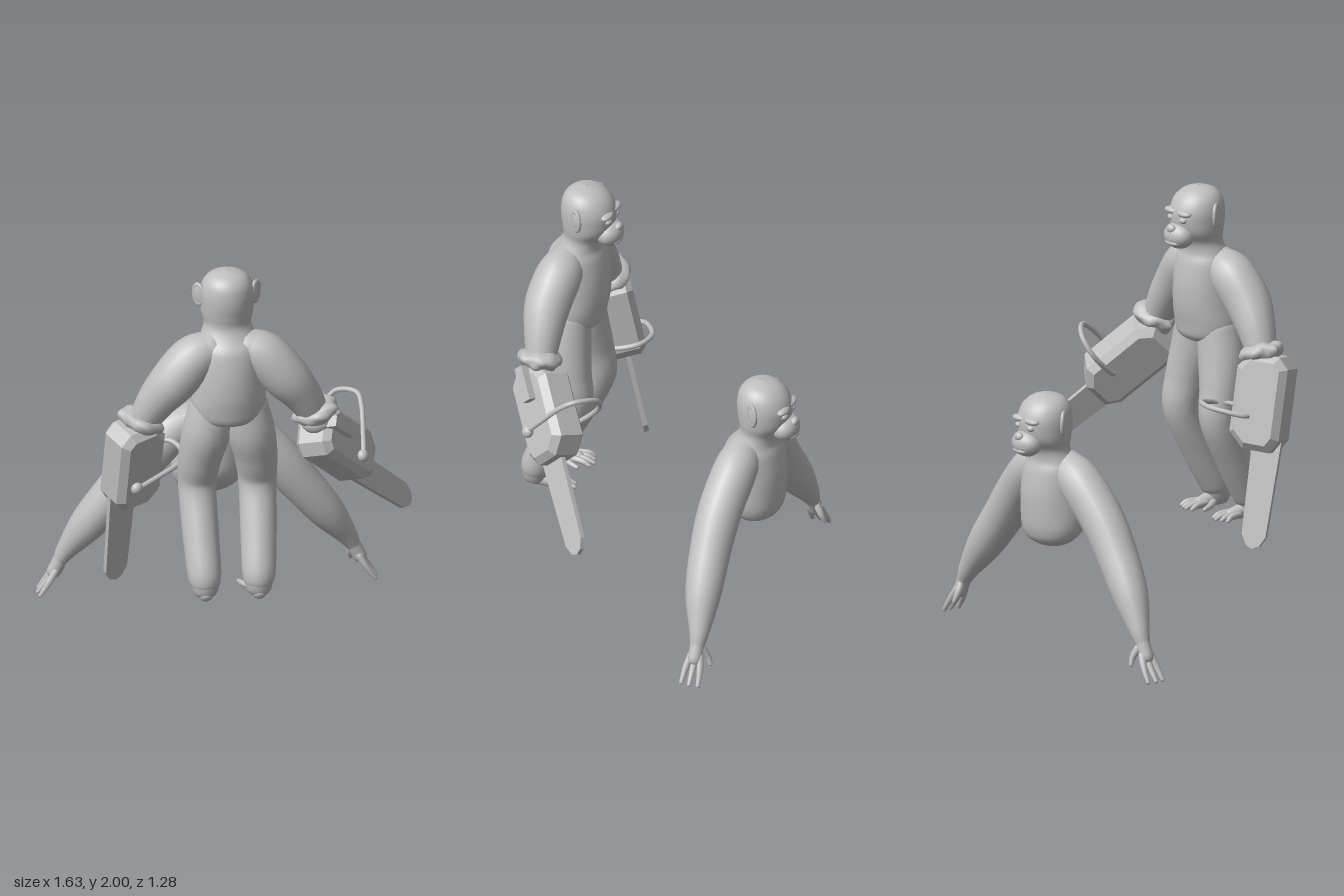
import * as THREE from 'three';

const grey = new THREE.MeshStandardMaterial({ color: 0xbfbfbf });
grey.name = 'plain grey';
const CX = -0.065; // shared mirror plane of both apes

function add(parent, name, geo, pos = [0, 0, 0], scale = [1, 1, 1]) {
  const m = new THREE.Mesh(geo, grey);
  m.name = name;
  m.position.set(...pos);
  m.scale.set(...scale);
  parent.add(m);
  return m;
}
const ball = (parent, name, pos, radii) => add(parent, name, new THREE.SphereGeometry(1, 24, 16), pos, radii);

// Smooth interpolation of rows of numbers
function sample(rows, per) {
  const out = [], last = rows.length - 1;
  for (let k = 0; k <= last * per; k++) {
    const i = Math.min(Math.floor(k / per), last - 1), t = k / per - i;
    const [a, b, c, d] = [-1, 0, 1, 2].map(o => rows[Math.min(Math.max(i + o, 0), last)]);
    out.push(b.map((_, n) => b[n] + 0.5 * t * (c[n] - a[n] +
      t * (2 * a[n] - 5 * b[n] + 4 * c[n] - d[n] + t * (3 * (b[n] - c[n]) + d[n] - a[n])))));
  }
  return out;
}

// Closed skin over rings of equal point count
function skin(rings) {
  const n = rings[0].length, pos = rings.flat().flatMap(p => [p.x, p.y, p.z]), idx = [];
  for (let i = 0; i < rings.length - 1; i++) {
    for (let j = 0; j < n; j++) {
      const a = i * n + j, b = i * n + (j + 1) % n;
      idx.push(a, b, a + n, b, b + n, a + n);
    }
  }
  const g = new THREE.BufferGeometry();
  g.setAttribute('position', new THREE.Float32BufferAttribute(pos, 3));
  g.setIndex(idx);
  g.computeVertexNormals();
  return g;
}

// Round limb along rows of [x, y, z, radius] with domed ends
function limb(rows, sides = 18, per = 6) {
  const s = sample(rows, per), P = s.map(r => new THREE.Vector3(r[0], r[1], r[2])), end = P.length - 1;
  const chord = P[end].clone().sub(P[0]).normalize();
  const ref = Math.abs(chord.z) > 0.7 ? new THREE.Vector3(0, 1, 0) : new THREE.Vector3(0, 0, 1);
  const rings = [];
  const ring = (i, shift, shrink) => {
    const T = P[Math.min(i + 1, end)].clone().sub(P[Math.max(i - 1, 0)]).normalize();
    const N = ref.clone().cross(T).normalize(), B = T.clone().cross(N), r = s[i][3];
    rings.push(Array.from({ length: sides }, (_, j) => {
      const a = j / sides * Math.PI * 2;
      return P[i].clone().addScaledVector(T, shift * r)
        .addScaledVector(N, Math.cos(a) * r * shrink).addScaledVector(B, Math.sin(a) * r * shrink);
    }));
  };
  for (const a of [1.56, 1.2, 0.8, 0.4]) ring(0, -Math.sin(a), Math.cos(a));
  for (let i = 0; i <= end; i++) ring(i, 0, 1);
  for (const a of [0.4, 0.8, 1.2, 1.56]) ring(end, Math.sin(a), Math.cos(a));
  return skin(rings);
}

// Rows give offsets from the mirror plane; side is +1 (left) or -1 (right)
const sided = (rows, side) => rows.map(([x, ...rest]) => [CX + side * x, ...rest]);

// Trunk and head from rows of [y, back z, front z, half width]
function trunk(rows) {
  return skin(sample(rows, 4).map(([y, back, front, w]) => Array.from({ length: 32 }, (_, j) => {
    const a = j / 32 * Math.PI * 2;
    return new THREE.Vector3(CX + Math.max(w, 0.001) * Math.cos(a), y, (back + front) / 2 + (back - front) / 2 * Math.sin(a));
  })));
}

const upperRows = [
  [2.0, 0.38, 0.37, 0.002], [1.985, 0.44, 0.31, 0.068], [1.95, 0.475, 0.265, 0.105], [1.9, 0.487, 0.24, 0.12],
  [1.85, 0.487, 0.238, 0.121], [1.8, 0.48, 0.25, 0.117], [1.75, 0.475, 0.288, 0.106], [1.7, 0.5, 0.298, 0.122],
  [1.65, 0.54, 0.283, 0.146], [1.55, 0.565, 0.268, 0.155], [1.45, 0.573, 0.27, 0.162]];
const hipRows = [[1.37, 0.565, 0.285, 0.168], [1.31, 0.55, 0.3, 0.15], [1.28, 0.5, 0.35, 0.08], [1.27, 0.43, 0.42, 0.002]];
const stumpRows = [[1.38, 0.54, 0.278, 0.155], [1.33, 0.49, 0.3, 0.125], [1.3, 0.44, 0.35, 0.06], [1.295, 0.4, 0.39, 0.002]];

function upperBody(name, lowerRows) {
  const g = new THREE.Group();
  g.name = name;
  add(g, 'trunkAndHead', trunk([...upperRows, ...lowerRows]));
  // Face
  ball(g, 'muzzle', [CX, 1.785, 0.262], [0.078, 0.06, 0.062]);
  ball(g, 'nose', [CX, 1.822, 0.218], [0.026, 0.02, 0.018]);
  ball(g, 'lowerLip', [CX, 1.757, 0.222], [0.045, 0.014, 0.02]);
  for (const s of [-1, 1]) {
    ball(g, 'browRidge', [CX + s * 0.043, 1.893, 0.256], [0.045, 0.016, 0.025]);
    ball(g, 'eye', [CX + s * 0.043, 1.862, 0.253], [0.02, 0.015, 0.018]);
    // Ear dish with a raised rim
    const ear = new THREE.Group();
    ear.name = 'ear';
    ear.position.set(CX + s * 0.128, 1.885, 0.37);
    ear.rotation.y = s * 0.9;
    ball(ear, 'earDish', [0, 0, 0], [0.034, 0.05, 0.012]);
    add(ear, 'earRim', new THREE.TorusGeometry(0.03, 0.009, 8, 24), [0, 0, 0], [1, 1.5, 1]);
    g.add(ear);
  }
  return g;
}

// Lumpy glove cuff
function cuffGeometry() {
  const g = new THREE.SphereGeometry(1, 32, 20), p = g.attributes.position;
  for (let i = 0; i < p.count; i++) {
    const x = p.getX(i), y = p.getY(i), z = p.getZ(i);
    const k = 1 + 0.09 * Math.sin(5 * x + 3 * y) * Math.cos(6 * z) + 0.05 * Math.sin(9 * z + 4 * x);
    p.setXYZ(i, x * k, y * k, z * k);
  }
  g.computeVertexNormals();
  return g;
}

const outline = pts => new THREE.Shape(pts.map(p => new THREE.Vector2(...p)));

// Chainsaw: local x runs along the bar, y towards the loop handle, z through the thickness
function chainsaw(name, centre, along, up) {
  const g = new THREE.Group();
  g.name = name;
  const d = new THREE.Vector3(...along).normalize(), u = new THREE.Vector3(...up);
  u.addScaledVector(d, -u.dot(d)).normalize();
  g.quaternion.setFromRotationMatrix(new THREE.Matrix4().makeBasis(d, u, d.clone().cross(u)));
  g.position.set(...centre);
  const body = outline([[-0.19, -0.06], [-0.16, -0.09], [0.14, -0.095], [0.18, -0.07], [0.18, 0.03], [0.13, 0.085], [-0.14, 0.09], [-0.19, 0.05]]);
  add(g, 'sawBody', new THREE.ExtrudeGeometry(body, { depth: 0.12, bevelThickness: 0.03, bevelSize: 0.03, bevelSegments: 1 }), [0, 0, -0.06]);
  const bar = outline([[0.15, -0.07], [0.59, -0.06], [0.635, -0.035], [0.65, 0], [0.635, 0.03], [0.59, 0.055], [0.15, 0.07]]);
  add(g, 'sawBar', new THREE.ExtrudeGeometry(bar, { depth: 0.022, bevelEnabled: false }), [0, -0.05, -0.011]);
  const path = new THREE.CatmullRomCurve3([[0.06, -0.05, 0.11], [0.05, 0.06, 0.1], [0.04, 0.18, 0.085], [0.04, 0.245, 0.055],
    [0.04, 0.265, -0.06], [0.05, 0.19, -0.125], [0.06, 0.04, -0.105], [0.06, 0.02, -0.07]].map(p => new THREE.Vector3(...p)));
  add(g, 'loopHandle', new THREE.TubeGeometry(path, 48, 0.012, 8));
  ball(g, 'handleKnob', [0.06, -0.05, 0.105], [0.028, 0.028, 0.024]);
  return g;
}

export function createModel() {
  const model = new THREE.Group();

  // Standing ape holding two saws
  const standing = upperBody('standingApe', hipRows);
  for (const s of [-1, 1]) {
    add(standing, 'arm', limb(sided([[0.08, 1.64, 0.43, 0.085], [0.16, 1.6, 0.44, 0.105], [0.25, 1.5, 0.455, 0.105],
      [0.325, 1.4, 0.445, 0.088], [0.39, 1.28, 0.43, 0.065]], s)));
    const cuff = add(standing, 'gloveCuff', cuffGeometry(), [CX + s * 0.39, 1.3, 0.43], [0.102, 0.05, 0.1]);
    cuff.rotation.z = s * 0.35;
    ball(standing, 'fist', [CX + s * 0.395, 1.255, 0.43], [0.075, 0.06, 0.075]);
    add(standing, 'leg', limb(sided([[0.075, 1.35, 0.425, 0.1], [0.1, 1.22, 0.425, 0.108], [0.126, 1.08, 0.4, 0.097], [0.135, 0.94, 0.38, 0.086],
      [0.13, 0.75, 0.465, 0.082], [0.122, 0.58, 0.552, 0.076], [0.12, 0.525, 0.568, 0.062]], s), 20));
    // Foot with long toes
    add(standing, 'foot', limb(sided([[0.12, 0.495, 0.59, 0.035], [0.12, 0.495, 0.53, 0.035], [0.118, 0.485, 0.46, 0.026]], s), 14));
    for (let t = -1; t <= 2; t++) {
      const x = 0.11 + t * 0.02;
      add(standing, 'toe', limb(sided([[x, 0.488, 0.48, 0.015], [x + t * 0.006, 0.488, 0.43, 0.014],
        [x + t * 0.01, 0.475, 0.385 + Math.abs(t) * 0.01, 0.009]], s), 8, 4));
    }
    add(standing, 'bigToe', limb(sided([[0.09, 0.485, 0.52, 0.018], [0.06, 0.48, 0.48, 0.014], [0.045, 0.475, 0.44, 0.01]], s), 8, 4));
  }
  model.add(standing);

  model.add(chainsaw('rightChainsaw', [-0.49, 1.08, 0.405], [-0.04, -0.977, -0.21], [0.87, 0.072, -0.5]));
  const leftSaw = chainsaw('leftChainsaw', [0.43, 1.09, 0.345], [0.566, -0.647, -0.508], [0.17, 0.7, -0.7]);
  add(leftSaw, 'rearGrip', new THREE.BoxGeometry(0.16, 0.05, 0.05), [-0.14, 0.02, 0.1]);
  model.add(leftSaw);

  // Legless ape propped on its hands
  const crawling = upperBody('crawlingApe', stumpRows);
  crawling.position.set(0, -0.815, -0.85);
  model.add(crawling);
  for (const s of [-1, 1]) {
    add(model, 'proppingArm', limb(sided([[0.08, 0.84, -0.42, 0.085], [0.17, 0.79, -0.415, 0.1], [0.3, 0.66, -0.4, 0.1], [0.41, 0.52, -0.4, 0.094],
      [0.53, 0.36, -0.415, 0.082], [0.62, 0.23, -0.435, 0.05], [0.655, 0.17, -0.44, 0.034]], s)));
    add(model, 'palm', limb(sided([[0.65, 0.18, -0.44, 0.034], [0.685, 0.11, -0.44, 0.032]], s), 12));
    for (let f = -1; f <= 1; f++) {
      const z = -0.44 + f * 0.022;
      add(model, 'finger', limb(sided([[0.68, 0.12, z, 0.017], [0.71, 0.07, z + f * 0.012, 0.015],
        [0.755 - Math.abs(f) * 0.006, 0.012, z + f * 0.018, 0.01]], s), 8, 4));
    }
    add(model, 'thumb', limb(sided([[0.655, 0.15, -0.46, 0.018], [0.645, 0.11, -0.485, 0.015], [0.65, 0.075, -0.5, 0.01]], s), 8, 4));
  }
  return model;
}
